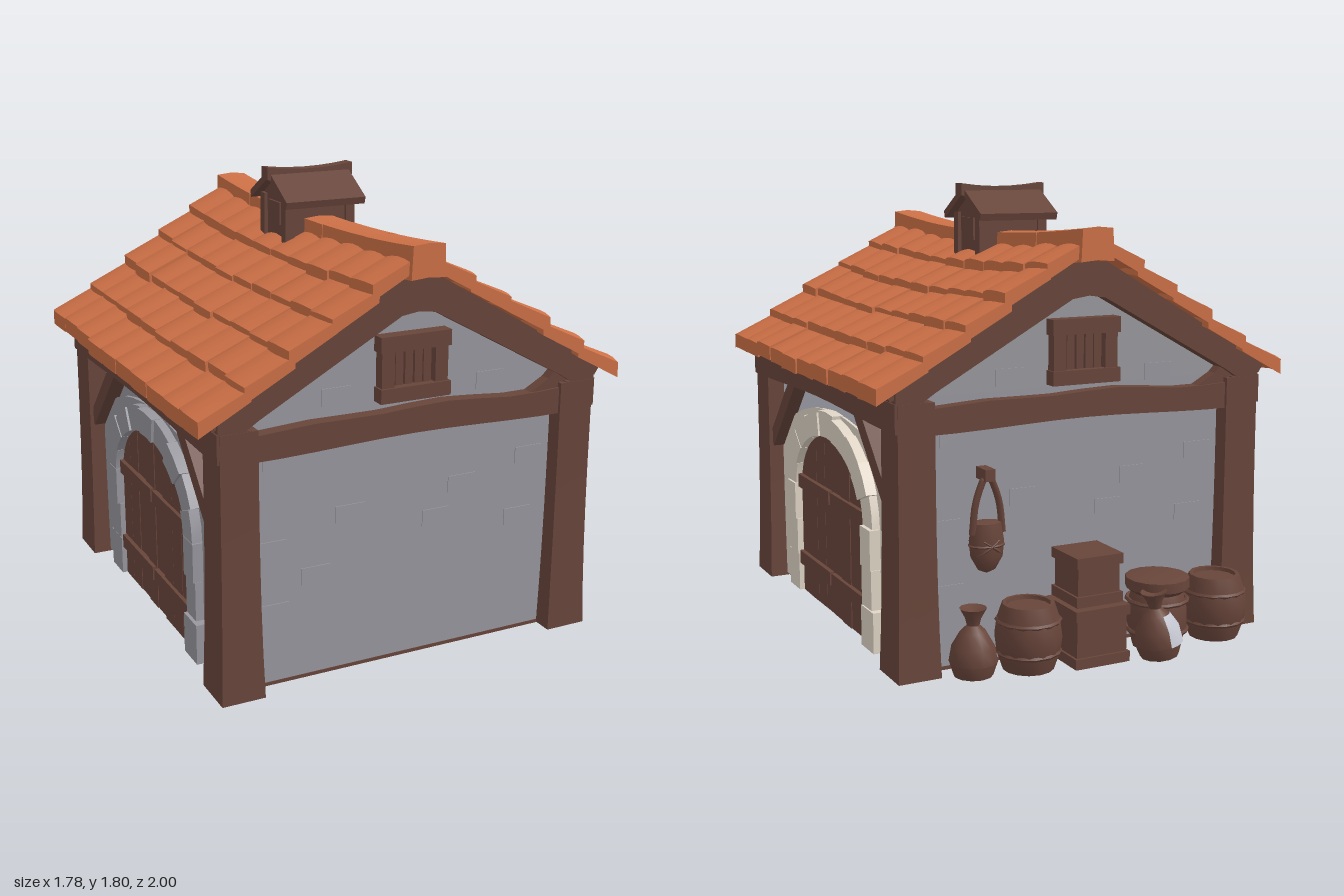
import * as THREE from 'three';
import { mergeGeometries, toCreasedNormals } from 'three/addons/utils/BufferGeometryUtils.js';

const mat = (name, color) => {
  const m = new THREE.MeshStandardMaterial({ color });
  m.name = name;
  return m;
};

let seed = 7;
const rnd = (a) => {
  seed = (seed * 16807) % 2147483647;
  return (seed / 2147483647 - 0.5) * 2 * a;
};
const lerp = THREE.MathUtils.lerp;

// Move every vertex of a geometry by a rule
function warp(g, rule) {
  const p = g.attributes.position, v = new THREE.Vector3();
  for (let i = 0; i < p.count; i++) {
    rule(v.fromBufferAttribute(p, i));
    p.setXYZ(i, v.x, v.y, v.z);
  }
  g.computeVertexNormals();
  return g;
}

// Box given by its limits
const box = (x0, x1, y0, y1, z0, z1, sx = 1, sy = 1, sz = 1) =>
  new THREE.BoxGeometry(x1 - x0, y1 - y0, z1 - z0, sx, sy, sz)
    .translate((x0 + x1) / 2, (y0 + y1) / 2, (z0 + z1) / 2);

// Outline extruded along z between two limits
const prism = (pts, z0, z1) =>
  new THREE.ExtrudeGeometry(new THREE.Shape(pts.map(([x, y]) => new THREE.Vector2(x, y))),
    { depth: z1 - z0, bevelEnabled: false }).translate(0, 0, z0);

// Half outline from top centre to bottom centre, mirrored in x
const mirrored = (half) => [...half, ...half.filter((p) => p[0] > 0).map(([x, y]) => [-x, y]).reverse()];

function add(parent, name, geometry, material) {
  const m = new THREE.Mesh(Array.isArray(geometry) ? mergeGeometries(geometry) : geometry, material);
  m.name = name;
  parent.add(m);
  return m;
}

export function createModel() {
  const wood = mat('brown wood', 0x68453a);
  const darkWood = mat('dark wood', 0x4a3027);
  const tile = mat('orange roof tile', 0xcd7046);
  const plaster = mat('grey plaster', 0x98979e);
  const pale = mat('pale plaster', 0xc6c8d2);
  const stone = mat('cream stone', 0xe0d5c6);

  const model = new THREE.Group();
  model.name = 'storehouse';
  const house = new THREE.Group();
  house.name = 'house';
  house.position.z = 0.105;
  model.add(house);

  // Walls, floor and roof deck
  add(house, 'walls', prism(mirrored([[0, 1.43], [0.7, 1.05], [0.7, 0.018]]), -0.77, 0.77), plaster);
  add(house, 'floor', box(-0.705, 0.705, 0.006, 0.02, -0.772, 0.772), wood);
  add(house, 'roofDeck', prism(mirrored([[0, 1.51], [0.82, 1.08], [0.8, 1.05], [0, 1.44]]), -0.82, 0.82), wood);

  // Door arch path: straight legs, elliptical top
  const arch = (t, rx, ry) => {
    if (t < 0) return [rx, 0.5 + t];
    if (t > 1) return [-rx, 0.5 - (t - 1)];
    return [rx * Math.cos(Math.PI * t), 0.5 + ry * Math.sin(Math.PI * t)];
  };
  const joints = [-0.485, -0.32, -0.16];
  for (let i = 0; i <= 9; i++) joints.push(i / 9);
  joints.push(1.16, 1.32, 1.485);

  // Each half turn holds one gable and one door side
  for (const turn of [0, Math.PI]) {
    const half = new THREE.Group();
    half.name = turn ? 'backLeftHalf' : 'frontRightHalf';
    half.rotation.y = turn;
    house.add(half);
    const archMat = turn ? plaster : stone;

    // Corner posts, flared at the foot
    for (const s of [1, -1]) {
      add(half, 'cornerPost', warp(box(-0.073, 0.073, 0.008, 1.04, -0.08, 0.08, 1, 6, 1), (p) => {
        const k = 1 + 0.16 * Math.pow(1.04 - p.y, 3);
        p.set(p.x * k + s * 0.707, p.y, p.z * k + 0.757);
      }), wood);
    }
    // Gable beam, rafters, corner fillet and eave beam
    add(half, 'gableBeam', warp(box(-0.68, 0.68, 0.925, 1.025, 0.7, 0.825, 10, 1, 1),
      (p) => { p.y += 0.008 * Math.cos(p.x * 5) + (p.y > 1 ? 0.006 * Math.sin(p.x * 11) : 0); }), wood);
    add(half, 'rafters', prism(mirrored([[0, 1.565], [0.785, 1.105], [0.785, 1.03], [0.7, 1.03], [0.63, 1.075], [0.07, 1.385], [0, 1.395]]),
      0.7, 0.835), wood);
    add(half, 'cornerFillet', prism([[0.5, 1.01], [0.7, 1.01], [0.63, 1.1], [0.59, 1.06]], 0.7, 0.815), wood);
    add(half, 'eaveBeam', warp(box(0.66, 0.79, 0.945, 1.055, -0.835, 0.835, 1, 1, 10),
      (p) => { p.y += 0.008 * Math.cos(p.z * 4) - 0.004; }), wood);

    // Gable window
    const w = [
      box(-0.147, 0.145, 1.25, 1.31, 0.75, 0.825), box(-0.145, 0.147, 1.06, 1.115, 0.75, 0.825),
      box(-0.138, -0.085, 1.1, 1.27, 0.75, 0.815), box(0.085, 0.138, 1.1, 1.27, 0.75, 0.815),
    ];
    for (const x of [-0.055, -0.015, 0.025, 0.062]) w.push(box(x - 0.016, x + 0.016, 1.1, 1.26, 0.76, 0.795));
    add(half, 'windowFrame', w, wood);
    add(half, 'windowInside', box(-0.09, 0.09, 1.1, 1.26, 0.76, 0.777), darkWood);

    // Bricks showing through the plaster
    const bricks = [[0.35, 1.08], [-0.24, 0.64], [0.13, 0.56], [-0.53, 0.89], [0.54, 0.75], [-0.55, 0.3],
      [-0.38, 0.42], [0.24, 0.68], [0.5, 0.5], [-0.3, 1.1], [-0.56, 0.55]].map(([x, y]) =>
      box(x - 0.06, x + 0.06, y - 0.033, y + 0.033, 0.76, 0.7735));
    add(half, 'wallBricks', bricks, plaster);

    // Masonry surround behind the arch, with the wall above it
    const top = [];
    for (let i = 0; i <= 8; i++) {
      const a = (i / 8) * Math.PI / 2;
      top.push([0.675 * Math.sin(a), 0.6 + 0.275 * Math.cos(a)]);
    }
    add(half, 'archSurround', prism(mirrored([...top, [0.675, 0.02]]), 0.69, 0.717).rotateY(Math.PI / 2), archMat);
    if (!turn) add(half, 'upperSideWall', box(0.699, 0.706, 0.58, 1, -0.69, 0.69), pale);

    // Arch stones
    const stones = [];
    for (let i = 0; i < joints.length - 1; i++) {
      const a = joints[i], b = joints[i + 1], out = 0.755 + rnd(0.008);
      const grow = 0.495 + rnd(0.01) + (i === 0 || i === joints.length - 2 ? 0.02 : 0);
      stones.push(warp(new THREE.BoxGeometry(1, 1, 1, 1, 1, 2), (p) => {
        const t = lerp(b - 0.001, a + 0.001, p.z + 0.5), r = p.y + 0.5;
        const [z, y] = arch(t, lerp(0.395, grow, r), lerp(0.272, grow - 0.12, r));
        p.set(p.x > 0 ? out : 0.69, y, z);
      }));
    }
    add(half, 'archStones', stones, archMat);

    // Double door of planks with battens
    const planks = [], battens = [];
    for (let i = 0; i < 8; i++) {
      const z = -0.4 + i * 0.1, out = 0.727 + rnd(0.004);
      planks.push(warp(box(0.68, out, 0, 1, z, z + 0.1, 1, 1, 3), (p) => {
        p.y = p.y > 0.5 ? 0.5 + 0.28 * Math.sqrt(Math.max(0, 1 - (p.z / 0.41) ** 2)) : 0.015;
      }));
    }
    for (const s of [-1, 1]) for (const y of [0.17, 0.515]) {
      battens.push(box(0.7, 0.744, y - 0.03, y + 0.028, s * 0.2 - 0.19, s * 0.2 + 0.19));
    }
    add(half, 'doorPlanks', planks, wood);
    add(half, 'doorBattens', battens, wood);

    // Knee braces
    const braces = [1, -1].map((s) => box(0.69, 0.765, -0.23, 0.23, -0.032, 0.032)
      .rotateX(-s * 0.78).translate(0, 0.805, s * 0.525));
    add(half, 'kneeBraces', braces, wood);

    // Five overlapping rows of roof tiles
    const rows = [0.875, 0.705, 0.54, 0.375, 0.215, 0.05];
    for (let r = 0; r < 5; r++) {
      const tiles = [];
      for (let i = 0; i < 10; i++) {
        const z0 = -0.875 + i * 0.175, xo = rows[r] + rnd(0.008), xi = rows[r + 1] - 0.03;
        const yo = 1.112 + (0.88 - rows[r]) * 0.62 + rnd(0.006), yi = yo + (xo - xi) * 0.45;
        tiles.push(warp(new THREE.BoxGeometry(1, 1, 1, 2, 1, 4), (p) => {
          const u = p.x + 0.5, bulge = Math.cos(Math.PI * p.z);
          const z = z0 + (p.z + 0.5) * 0.178;
          const x = lerp(xi, xo + 0.014 * (bulge - 0.5), u);
          const y = lerp(yi, yo, u) + 0.01 * (bulge - 0.6) - (p.y < 0 ? lerp(0.045, 0.06, u) : 0);
          p.set(x, y - 0.045 * (1 - x / 0.88) * (1 - (z / 0.88) ** 2), z);
        }));
      }
      add(half, 'tileRow', tiles, tile);
    }
  }

  // Ridge caps
  const caps = [];
  for (let i = 0; i < 5; i++) {
    const z0 = -0.895 + i * 0.358;
    caps.push(warp(box(-0.07, 0.07, 1.525, 1.648, z0, z0 + 0.358, 2, 1, 3), (p) => {
      if (p.y > 1.6) p.x *= 0.92;
      p.y += (p.x === 0 ? 0.006 : 0) - 0.048 * (1 - (p.z / 0.895) ** 2);
      p.x += 0.003 * (i % 2);
    }));
  }
  add(house, 'ridgeCaps', caps, tile);

  // Roof vent
  const vent = new THREE.Group();
  vent.name = 'roofVent';
  vent.position.z = 0.015;
  model.add(vent);
  const across = (half, x) => prism(mirrored(half), -x, x).rotateY(Math.PI / 2);
  add(vent, 'ventBody', across([[0, 1.765], [0.11, 1.69], [0.112, 1.42]], 0.14), wood);
  add(vent, 'ventRoof', across([[0, 1.787], [0.178, 1.68], [0.17, 1.652], [0, 1.755]], 0.175), wood);
  add(vent, 'ventRidge', warp(box(-0.19, 0.19, 1.75, 1.8, -0.028, 0.028, 6, 1, 1),
    (p) => { p.y -= 0.014 * (1 - (p.x / 0.19) ** 2); }), wood);
  const trim = [];
  for (const sx of [-1, 1]) {
    for (const sz of [-1, 1]) trim.push(box(-0.02, 0.02, 1.45, 1.68, -0.02, 0.02).translate(sx * 0.135, 0, sz * 0.102));
    trim.push(box(-0.008, 0.008, 1.57, 1.66, -0.055, 0.055).translate(sx * 0.142, 0, 0));
  }
  add(vent, 'ventTrim', trim, wood);

  // Goods along the back wall
  const goods = new THREE.Group();
  goods.name = 'goods';
  model.add(goods);
  const lathe = (pts, n = 14, a = 0, len = Math.PI * 2) => toCreasedNormals(
    new THREE.LatheGeometry(pts.map(([x, y]) => new THREE.Vector2(x, y)), n, a, len), 0.65);

  const barrel = [[0, 0.01], [0.098, 0.01], [0.122, 0.08], [0.13, 0.14], [0.122, 0.2], [0.1, 0.265], [0.085, 0.265], [0.083, 0.25], [0, 0.25]];
  const cask = [[0, 0.01], [0.095, 0.01], [0.118, 0.1], [0.115, 0.19], [0.1, 0.23], [0.126, 0.25], [0.126, 0.29], [0.1, 0.295], [0, 0.295]];
  for (const [x, profile] of [[-0.555, barrel], [0.285, barrel], [-0.285, cask]]) {
    const parts = [lathe(profile)];
    for (const y of [0.08, 0.2]) parts.push(toCreasedNormals(
      new THREE.TorusGeometry(0.119, 0.009, 5, 14).rotateX(Math.PI / 2).translate(0, y, 0), 1));
    add(goods, 'barrel', parts, wood).position.set(x, 0, -0.79);
  }

  // Stacked crates with edge boards
  const crate = (x, y, z, w, h) => [box(-w / 2 + 0.01, w / 2 - 0.01, 0, h, -w / 2 + 0.01, w / 2 - 0.01),
    box(-w / 2, w / 2, 0.005, 0.045, -w / 2, w / 2), box(-w / 2, w / 2, h - 0.04, h, -w / 2, w / 2)]
    .map((g) => g.translate(x, y, z));
  add(goods, 'lowerCrate', crate(0.03, 0.008, -0.795, 0.235, 0.23), wood);
  add(goods, 'upperCrate', crate(0.03, 0.238, -0.785, 0.2, 0.195), wood);

  // Tied sacks, one with a pale patch
  const sack = [[0, 0.005], [0.075, 0.008], [0.092, 0.06], [0.082, 0.12], [0.05, 0.175], [0.024, 0.2], [0.03, 0.225], [0.052, 0.265], [0, 0.245]];
  add(goods, 'smallSack', lathe(sack, 12), wood).position.set(0.5, 0, -0.76);
  const big = add(goods, 'leaningSack', lathe(sack, 12), wood);
  big.position.set(-0.23, 0.005, -0.9);
  big.rotation.z = -0.12;
  const patch = sack.slice(2, 5).map(([r, y]) => [r + 0.004, y + 0.002]);
  add(big, 'sackPatch', lathe(patch, 4, Math.PI, 1.2), pale);

  // Hanging net bag
  const bag = new THREE.Group();
  bag.name = 'hangingBag';
  bag.position.set(0.42, 0, -0.71);
  goods.add(bag);
  add(bag, 'peg', box(-0.02, 0.02, 0.73, 0.775, -0.035, 0.05), wood);
  const strap = new THREE.CatmullRomCurve3([[-0.062, 0.53], [-0.045, 0.66], [0, 0.75], [0.045, 0.66], [0.062, 0.53]]
    .map(([x, y]) => new THREE.Vector3(x, y, -0.01)));
  add(bag, 'strap', new THREE.TubeGeometry(strap, 14, 0.014, 5), wood);
  const net = [lathe([[0, 0.375], [0.035, 0.39], [0.064, 0.44], [0.07, 0.5], [0.058, 0.57], [0, 0.58]], 12)];
  for (const tilt of [-0.6, 0, 0.6]) net.push(toCreasedNormals(
    new THREE.TorusGeometry(0.068, 0.006, 4, 12).rotateX(Math.PI / 2).rotateZ(tilt).translate(0, 0.485, 0), 1));
  add(bag, 'net', net, wood).scale.z = 0.75;

  return model;
}
